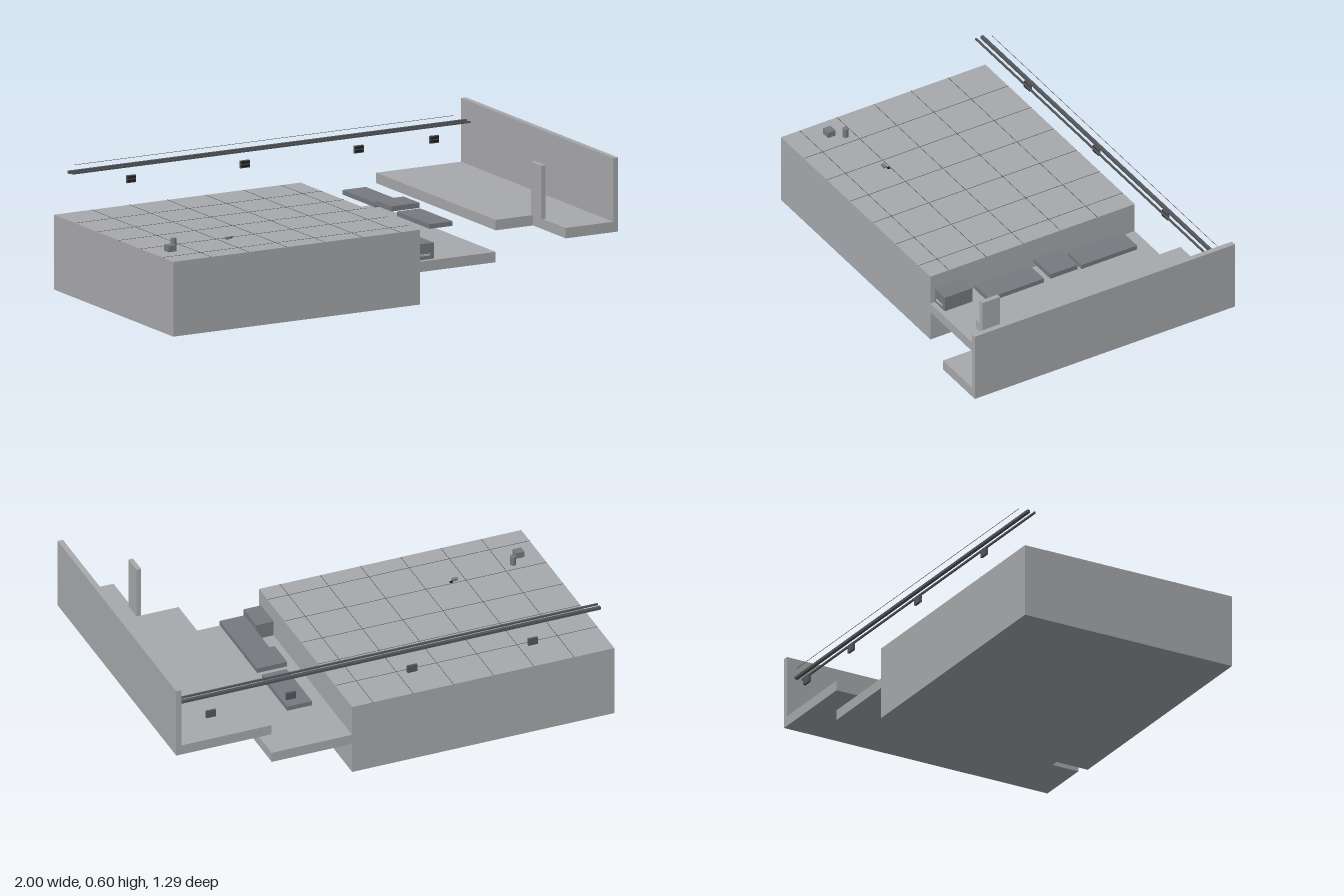
import * as THREE from 'three';

const material = (name, color) => {
  const m = new THREE.MeshStandardMaterial({ color });
  m.name = name;
  return m;
};

export function createModel() {
  const root = new THREE.Group();
  root.name = 'platformScene';
  const concrete = material('concrete grey', 0xa8a9ac);
  const slate = material('slate grey', 0x777a7f);
  const steel = material('dark steel grey', 0x54575b);
  const black = material('black', 0x1e1f21);
  const pale = material('pale grey', 0xb9bbbe);

  const add = (name, geometry, mat, x, y, z) => {
    const mesh = new THREE.Mesh(geometry, mat);
    mesh.name = name;
    mesh.position.set(x, y, z);
    root.add(mesh);
    return mesh;
  };
  // Box given by its minimum and maximum on each axis
  const box = (name, mat, x0, x1, y0, y1, z0, z1) =>
    add(name, new THREE.BoxGeometry(x1 - x0, y1 - y0, z1 - z0), mat,
      (x0 + x1) / 2, (y0 + y1) / 2, (z0 + z1) / 2);

  const back = -0.643, front = 0.367, top = 0.323, end = 0.643;

  // Main block, sunken floor and raised side walkway
  box('mainPlatform', concrete, -1, 0.197, 0, top, back, front);
  box('sunkenFloor', concrete, 0.197, 0.564, 0.14, 0.185, back, front);
  box('sideWalkway', concrete, 0.564, 0.976, 0.278, top, back, front);
  box('walkwayExtension', concrete, 0.745, 0.976, 0.278, top, front, end);
  box('sideWall', concrete, 0.976, 1, 0.278, 0.598, back, end);
  box('post', concrete, 0.735, 0.756, top, 0.555, front, 0.455);

  // Narrow paving joints
  const step = 0.1836, joint = 0.001;
  for (let i = 1; i <= 6; i++) {
    const x = -1 + i * step;
    box('crossJoint', steel, x - joint, x + joint, top, top + 0.001, back, front);
  }
  for (let i = 1; i <= 5; i++) {
    const z = back + i * step;
    box('longJoint', steel, -1, 0.197, top, top + 0.001, z - joint, z + joint);
  }

  // Row of raised slabs above the sunken floor
  box('rearBench', slate, 0.323, 0.436, 0.284, 0.304, -0.507, -0.232);
  box('middleTable', slate, 0.31, 0.447, 0.3, 0.322, -0.207, -0.072);
  box('frontBench', slate, 0.323, 0.436, 0.284, 0.304, -0.047, 0.227);

  // Equipment case with a pale front strip
  box('equipmentCase', slate, 0.197, 0.277, 0.185, 0.254, 0.208, 0.345);
  box('caseStrip', pale, 0.212, 0.257, 0.201, 0.209, 0.345, 0.348);

  // Overhead rails and wire
  box('mainRail', steel, -0.955, 0.976, 0.504, 0.516, -0.605, -0.591);
  box('secondRail', steel, -0.955, 0.976, 0.506, 0.514, -0.572, -0.565);
  box('thinWire', steel, -0.912, 0.93, 0.5315, 0.533, -0.622, -0.6205);

  // Suspended lamp boxes with dark fronts
  for (const x of [-0.634, -0.083, 0.47, 0.836]) {
    box('lampBox', steel, x - 0.022, x + 0.022, 0.423, 0.455, -0.633, -0.622);
    for (const y of [0.432, 0.447]) {
      box('lampFront', black, x - 0.02, x + 0.02, y - 0.005, y + 0.005, -0.622, -0.619);
    }
  }

  // Small objects left on the platform
  box('smallBox', slate, -0.93, -0.89, top, 0.35, 0.166, 0.203);
  add('smallCan', new THREE.CylinderGeometry(0.013, 0.013, 0.04, 16), slate, -0.864, top + 0.02, 0.132);
  box('smallTool', slate, -0.602, -0.577, top, 0.332, 0.105, 0.119);
  box('smallToolTip', black, -0.575, -0.563, top, 0.328, 0.096, 0.106);

  return root;
}
